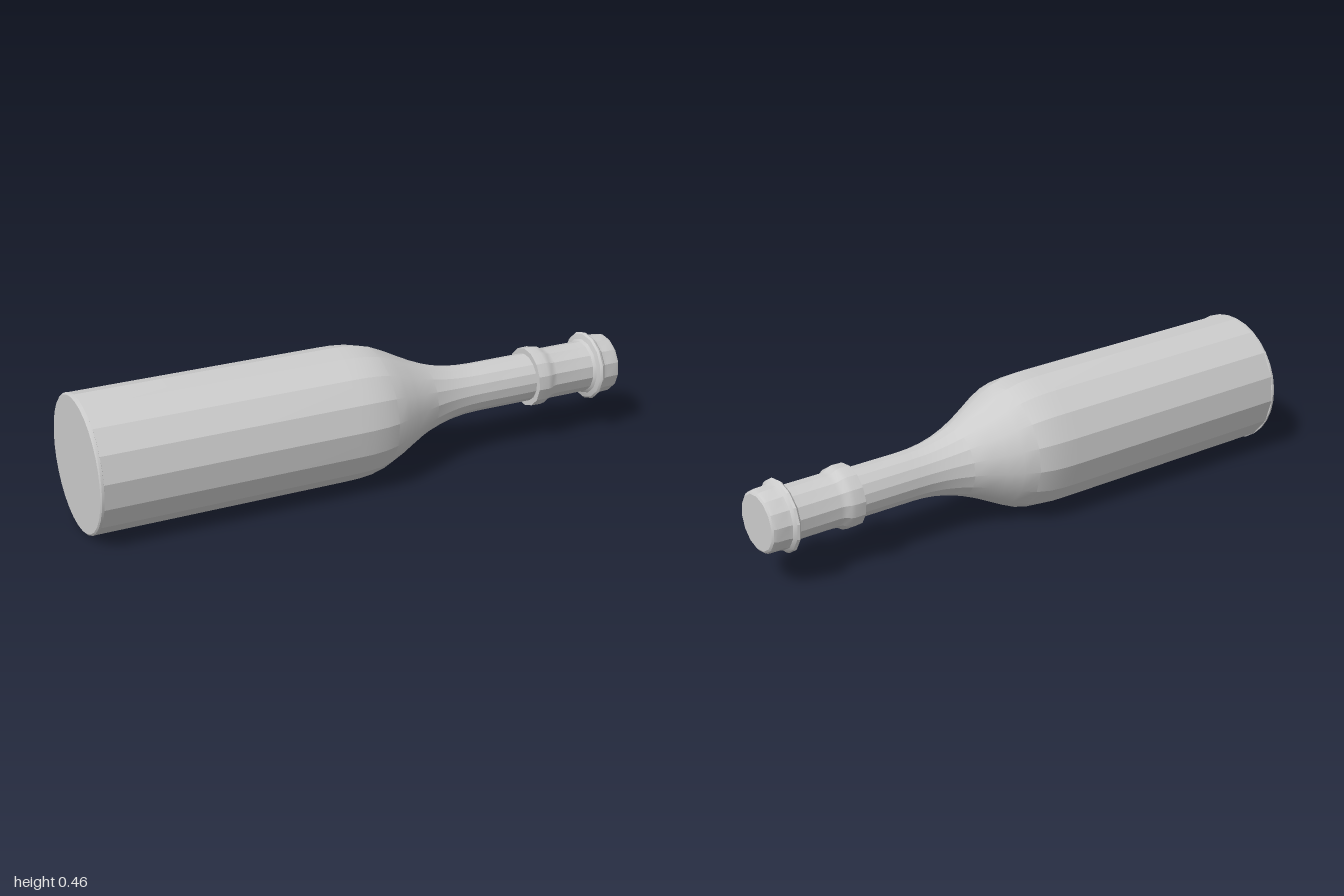
import * as THREE from 'three';
import { toCreasedNormals } from 'three/addons/utils/BufferGeometryUtils.js';

const AXIS_HEIGHT = 0.233;

export function createModel() {
  const model = new THREE.Group();
  model.name = 'bottle';
  const glass = new THREE.MeshStandardMaterial({ color: 0xcccccc });
  glass.name = 'pale grey';

  // Turns a [position along x, radius] profile into a faceted part lying along x
  function turned(name, profile, sides) {
    const points = profile.map(([x, r]) => new THREE.Vector2(r, x));
    const lathe = new THREE.LatheGeometry(points, sides, THREE.MathUtils.degToRad(-95));
    lathe.rotateZ(-Math.PI / 2);
    const mesh = new THREE.Mesh(toCreasedNormals(lathe, 0.37), glass);
    mesh.name = name;
    mesh.position.y = AXIS_HEIGHT;
    model.add(mesh);
  }

  // Straight body, curved shoulder and slim neck
  turned('body', [
    [-0.998, 0], [-0.998, 0.226], [-0.988, 0.232], [-0.1, 0.232], [-0.05, 0.231],
    [0, 0.226], [0.05, 0.214], [0.1, 0.192], [0.15, 0.166], [0.2, 0.141],
    [0.25, 0.12], [0.3, 0.104], [0.35, 0.093], [0.4, 0.087], [0.45, 0.085], [0.67, 0.085],
  ], 16);

  // Rounded foot edge
  turned('base', [[-1, 0], [-1, 0.227], [-0.996, 0.232], [-0.988, 0.233], [-0.985, 0.225]], 32);

  // Collar, upper neck and lipped cap
  turned('collarAndCap', [
    [0.663, 0.08], [0.663, 0.105], [0.7, 0.106], [0.715, 0.103], [0.73, 0.094],
    [0.745, 0.091], [0.895, 0.091], [0.903, 0.1], [0.908, 0.117], [0.915, 0.123],
    [0.923, 0.119], [0.932, 0.109], [0.945, 0.106], [0.985, 0.105], [0.995, 0.101],
    [1, 0.094], [1, 0],
  ], 14);

  return model;
}
